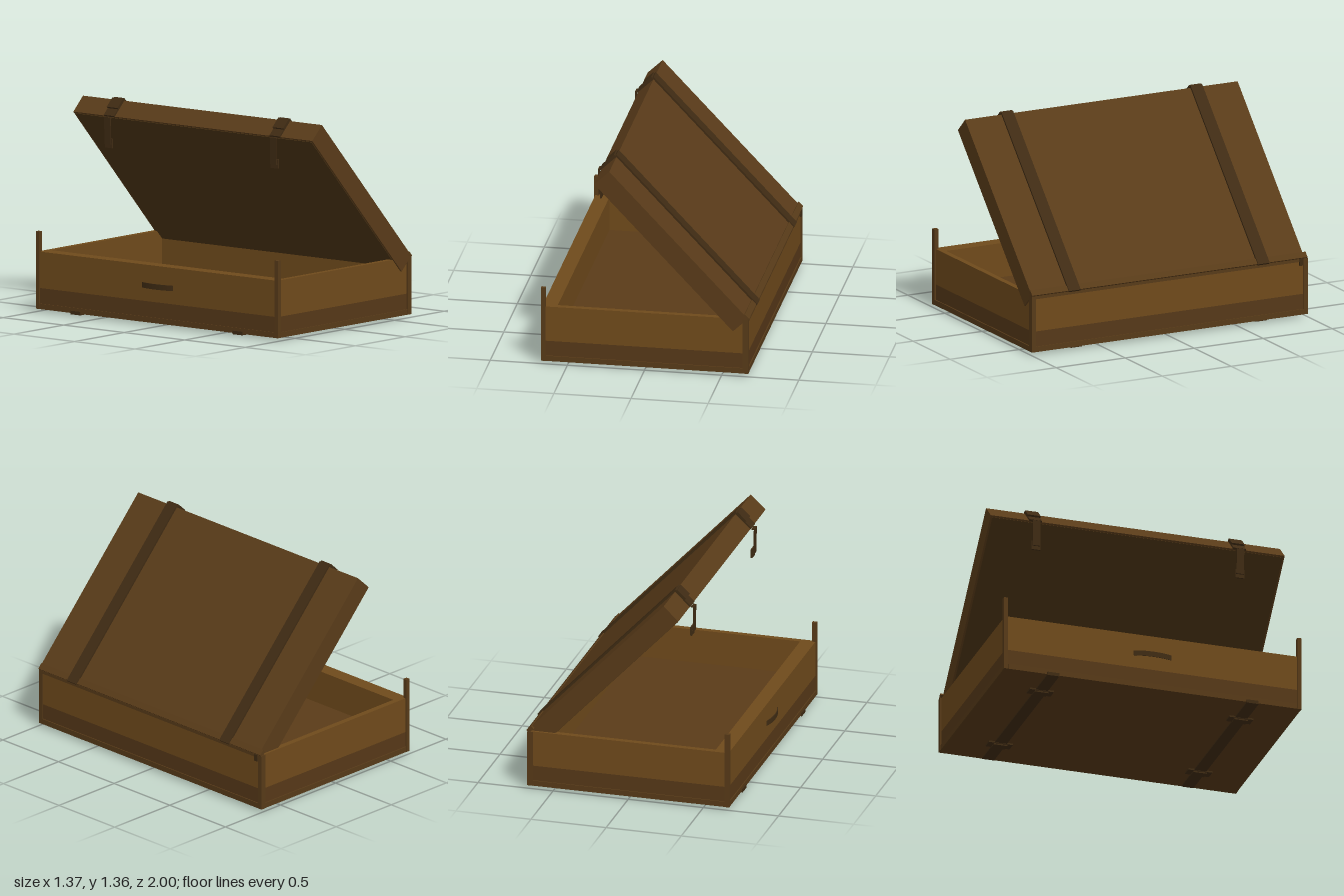
import * as THREE from 'three';

const mat = (color) => new THREE.MeshStandardMaterial({ color, flatShading: true });

export function createModel() {
  const wood = mat(0x6f4a1b), woodDark = mat(0x563818), trim = mat(0x573a18);
  const lidWood = mat(0x593b19), inner = mat(0x5a3b18), lining = mat(0x4c3415);
  const leather = mat(0x3f2b13);
  const model = new THREE.Group();

  // Box given by its minimum and maximum corners
  function box(parent, name, material, [x0, x1], [y0, y1], [z0, z1]) {
    const mesh = new THREE.Mesh(new THREE.BoxGeometry(x1 - x0, y1 - y0, z1 - z0), material);
    mesh.position.set((x0 + x1) / 2, (y0 + y1) / 2, (z0 + z1) / 2);
    mesh.name = name;
    parent.add(mesh);
    return mesh;
  }
  const span = (a, b, s) => (s > 0 ? [a, b] : [-b, -a]);

  // Tray: solid darker base, then four walls round the sunken floor
  const tray = new THREE.Group();
  tray.name = 'tray';
  model.add(tray);
  box(tray, 'base', woodDark, [-0.665, 0.665], [0.02, 0.155], [-0.99, 0.99]);
  box(tray, 'floor', inner, [-0.58, 0.56], [0.155, 0.165], [-0.96, 0.965]);
  box(tray, 'latchWall', wood, [-0.665, -0.57], [0.155, 0.39], [-0.99, 0.99]);
  box(tray, 'hingeWall', wood, [0.54, 0.665], [0.155, 0.39], [-0.99, 0.99]);
  for (const s of [1, -1]) {
    box(tray, 'endWall', wood, [-0.57, 0.54], [0.155, 0.39], span(0.953, 0.99, s));
    // Corner posts, taller on the opening side
    box(tray, 'tallPost', trim, [-0.672, -0.642], [0.02, 0.52], span(0.972, 1, s));
    box(tray, 'cornerPost', trim, [0.635, 0.672], [0.02, 0.39], span(0.97, 1, s));
    box(tray, 'endRail', trim, [-0.642, 0.635], [0.02, 0.055], span(0.98, 0.998, s));
    box(tray, 'sideRail', trim, s > 0 ? [0.65, 0.672] : [-0.671, -0.65], [0.02, 0.055], [-0.97, 0.97]);
  }
  box(tray, 'hingeRail', trim, [0.65, 0.672], [0.37, 0.39], [-0.97, 0.97]);
  box(tray, 'hingeBracket', leather, [0.66, 0.678], [0.345, 0.39], [-0.965, -0.94]);

  // Straps under the base, with small feet
  for (const z of [-0.67, 0.67]) {
    box(model, 'baseStrap', leather, [-0.675, 0.66], [0.012, 0.022], [z - 0.04, z + 0.04]);
    box(model, 'strapEnd', leather, [-0.677, -0.655], [0.012, 0.035], [z - 0.04, z + 0.04]);
    for (const x of [-0.41, 0.43]) {
      box(model, 'footPlate', leather, [x - 0.035, x + 0.035], [0.009, 0.02], [z - 0.08, z + 0.08]);
      box(model, 'foot', leather, [x - 0.028, x + 0.028], [0, 0.012], [z - 0.045, z + 0.045]);
    }
  }

  // Bowed carrying handle
  const bow = new THREE.Shape();
  bow.moveTo(-0.66, -0.14);
  bow.bezierCurveTo(-0.694, -0.06, -0.694, 0.06, -0.66, 0.14);
  bow.lineTo(-0.66, 0.125);
  bow.bezierCurveTo(-0.688, 0.06, -0.688, -0.06, -0.66, -0.125);
  const handleGeo = new THREE.ExtrudeGeometry(bow, { depth: 0.035, bevelEnabled: false, curveSegments: 10 });
  handleGeo.rotateX(Math.PI / 2);
  const handle = new THREE.Mesh(handleGeo, leather);
  handle.name = 'handle';
  handle.position.y = 0.275;
  model.add(handle);

  // Lid: local x runs up the slope from the hinge, local y runs inward
  const lid = new THREE.Group();
  lid.name = 'lid';
  lid.position.set(0.67, 0.398, 0);
  lid.rotation.z = Math.atan2(0.726, -0.688);
  model.add(lid);
  const L = 1.306, T = 0.137, z0 = -0.975, z1 = 1;
  box(lid, 'lidPanel', lidWood, [0, L], [0, T - 0.003], [z0, z1]);
  box(lid, 'lidLining', lining, [0.012, L - 0.012], [T - 0.003, T], [z0 + 0.012, z1 - 0.012]);
  box(lid, 'hingeStrip', trim, [-0.006, 0.035], [-0.006, 0.02], [-0.995, 1]);

  // Lid straps, wrapped over the upper edge, each with a hanging tongue
  for (const z of [-0.675, 0.695]) {
    const w = [z - 0.042, z + 0.042];
    box(lid, 'lidStrap', leather, [-0.012, L + 0.012], [-0.012, 0.002], w);
    box(lid, 'strapWrap', leather, [L - 0.002, L + 0.01], [-0.012, T], w);
    box(lid, 'strapBuckle', leather, [L + 0.008, L + 0.022], [0, 0.08], [z - 0.044, z + 0.044]);
    const tongue = box(model, 'tongue', leather, [-0.349, -0.343], [1.075, 1.247], [z - 0.025, z + 0.025]);
    tongue.rotation.z = 0.02;
    box(model, 'tongueRoot', leather, [-0.35, -0.33], [1.243, 1.25], [z - 0.025, z + 0.025]);
    box(model, 'tongueLink', leather, [-0.345, -0.328], [1.075, 1.082], [z - 0.025, z + 0.025]);
    box(model, 'clasp', leather, [-0.337, -0.326], [1.05, 1.11], [z - 0.03, z + 0.03]);
  }

  return model;
}
